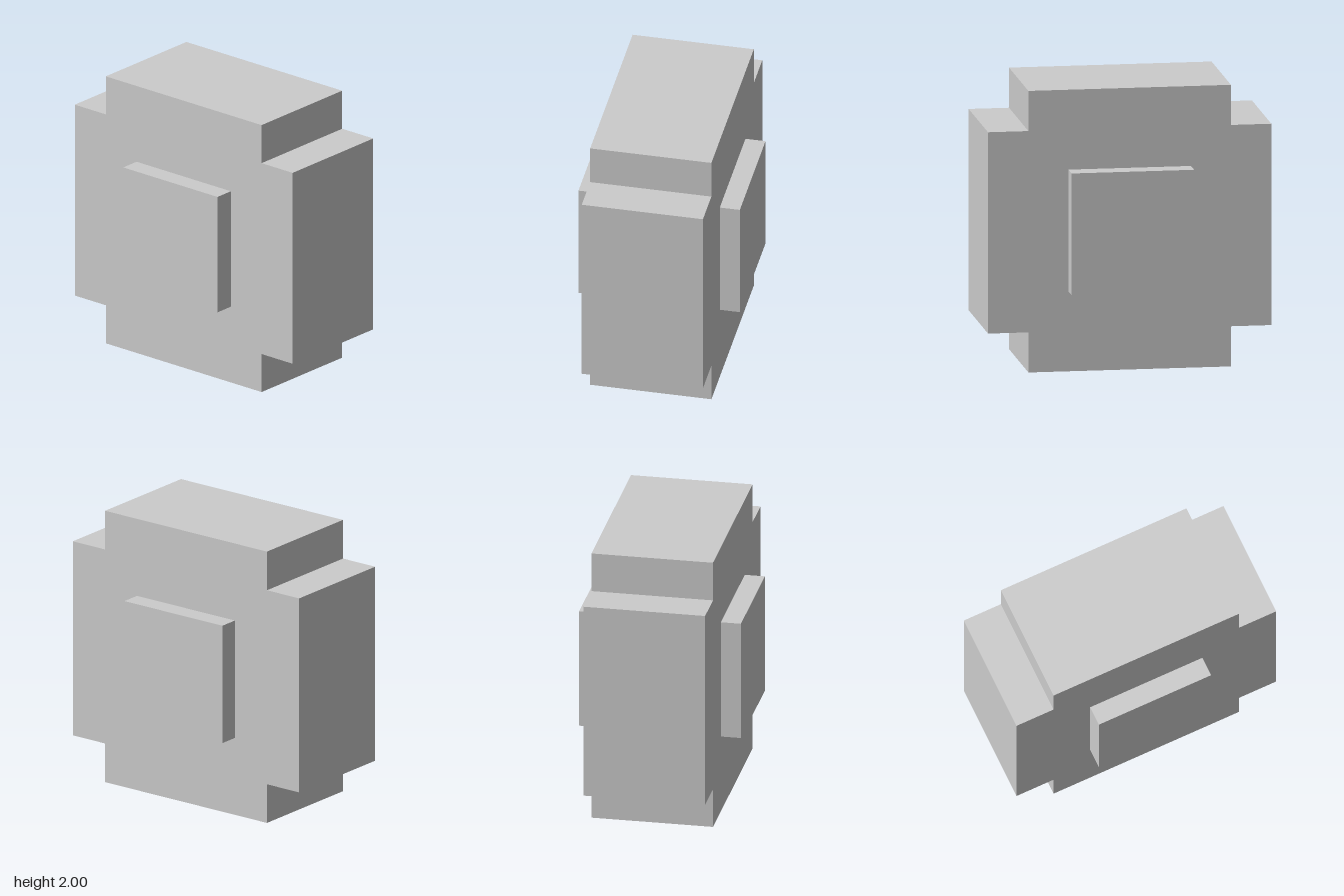
import * as THREE from 'three';

const material = new THREE.MeshStandardMaterial({ color: 0xcccccc, flatShading: true });

function addMesh(group, name, geometry, x, y, z) {
  const mesh = new THREE.Mesh(geometry, material);
  mesh.name = name;
  mesh.position.set(x, y, z);
  group.add(mesh);
}

export function createModel() {
  const group = new THREE.Group();
  group.name = 'crossBlock';
  const outer = 1, arm = 0.715, halfWidth = 0.432;

  // Cross-shaped body: a square with notched corners, extruded along x
  const corner = [[outer, -arm], [outer, arm], [arm, arm]];
  const points = [];
  for (let i = 0; i < 4; i++) {
    for (const [x, y] of corner) {
      points.push(new THREE.Vector2(x, y).rotateAround(new THREE.Vector2(), i * Math.PI / 2));
    }
  }
  const body = new THREE.ExtrudeGeometry(new THREE.Shape(points), { depth: 2 * halfWidth, bevelEnabled: false });
  body.translate(0, 0, -halfWidth).rotateY(Math.PI / 2);
  addMesh(group, 'body', body, 0, 1, 0);

  // Square raised pads on both sides
  const padDepth = 0.143, padSize = 0.865;
  for (const [name, side] of [['leftPad', 1], ['rightPad', -1]]) {
    addMesh(group, name, new THREE.BoxGeometry(padDepth, padSize, padSize),
      side * (halfWidth + padDepth / 2), 1, 0);
  }
  return group;
}
